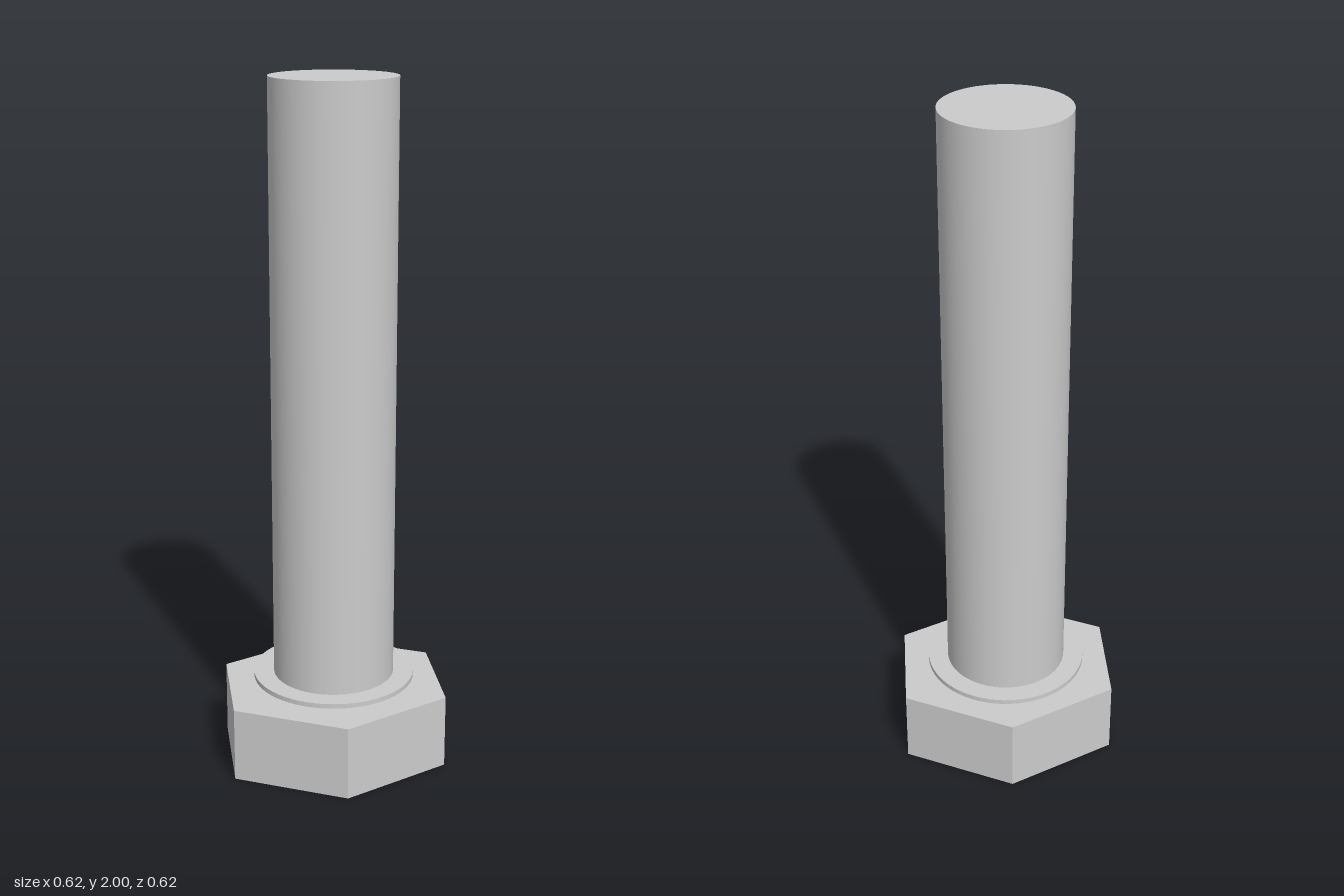
import * as THREE from 'three';

const HEAD_HEIGHT = 0.22;
const RECESS_DEPTH = 0.12;
const SHANK_RADIUS = 0.178;

// Cross outline: four arms of half length a and half width w
function crossPath(a, w) {
  const points = [];
  for (let i = 0; i < 4; i++) {
    const turn = (i * Math.PI) / 2;
    for (const [x, y] of [[a, -w], [a, w], [w, w]]) {
      points.push(new THREE.Vector2(x, y).rotateAround(new THREE.Vector2(), turn));
    }
  }
  return new THREE.Path(points.reverse());
}

export function createModel() {
  const model = new THREE.Group();
  model.name = 'hexBolt';
  const material = new THREE.MeshStandardMaterial({ color: 0xcccccc });

  const add = (name, geometry, y = 0) => {
    const mesh = new THREE.Mesh(geometry, material);
    mesh.name = name;
    mesh.position.y = y;
    model.add(mesh);
  };

  // Hexagonal head, as wide as it is deep, with a cross-shaped drive recess
  const r = 0.311;
  const hexagon = new THREE.Shape([
    [0, -r], [r, -r / 2], [r, r / 2], [0, r], [-r, r / 2], [-r, -r / 2],
  ].map(([x, y]) => new THREE.Vector2(x, y)));
  hexagon.holes.push(crossPath(0.12, 0.025));
  const head = new THREE.ExtrudeGeometry(hexagon, { depth: HEAD_HEIGHT, bevelEnabled: false });
  head.rotateX(-Math.PI / 2);
  add('head', head);

  // Shank, whose lower end sits inside the head and forms the recess floor
  const shankLength = 2 - RECESS_DEPTH;
  add('shank',
    new THREE.CylinderGeometry(SHANK_RADIUS, SHANK_RADIUS, shankLength, 64),
    RECESS_DEPTH + shankLength / 2);

  // Thin washer ring just clear of the head
  const washer = new THREE.LatheGeometry([
    [SHANK_RADIUS - 0.01, 0], [0.237, 0], [0.237, 0], [0.237, 0.014],
    [0.237, 0.014], [SHANK_RADIUS - 0.01, 0.014],
  ].map(([x, y]) => new THREE.Vector2(x, y)), 64).toNonIndexed();
  washer.computeVertexNormals();
  add('washer', washer, 0.248);

  return model;
}
